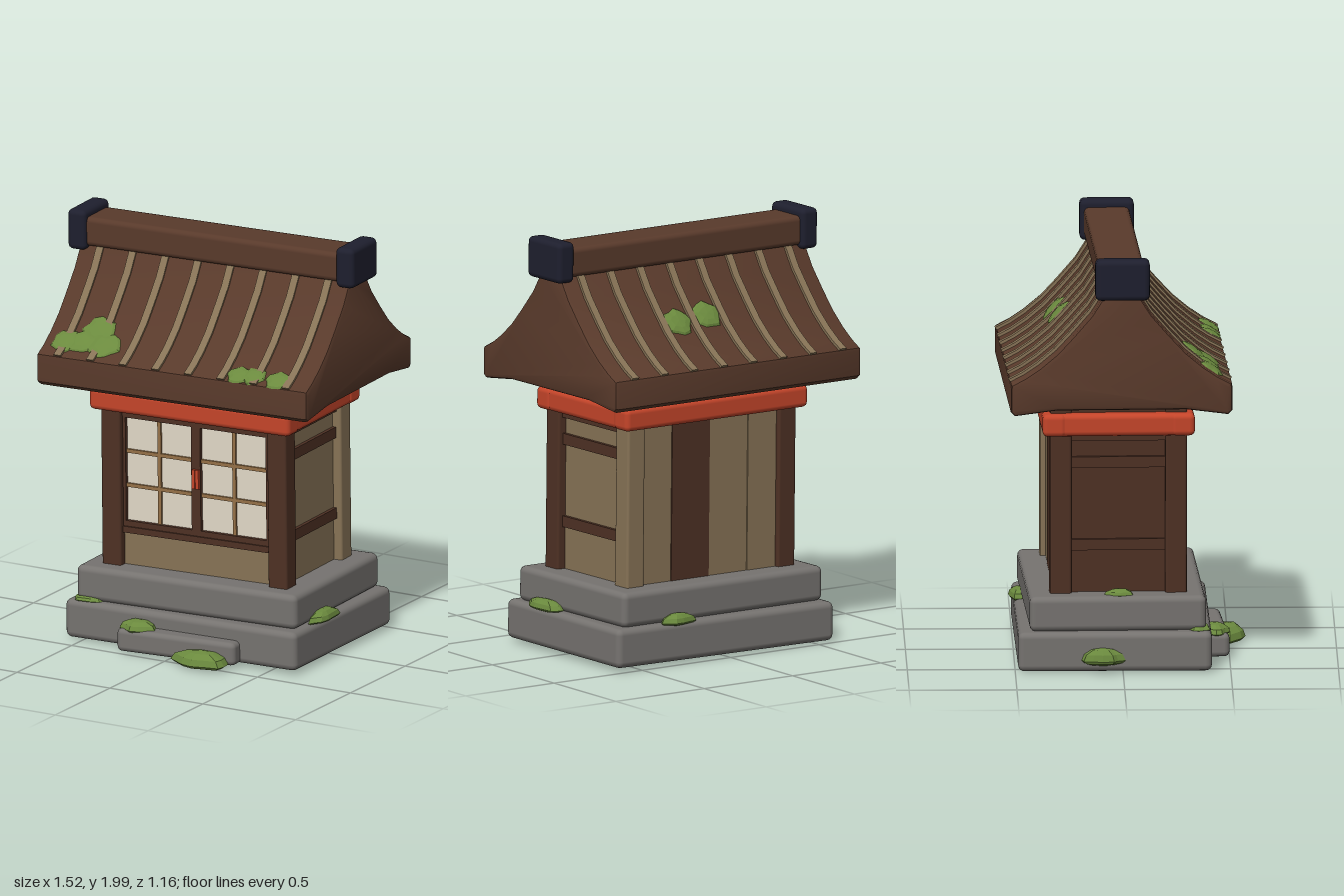
import * as THREE from 'three';
import { toCreasedNormals } from 'three/addons/utils/BufferGeometryUtils.js';
import { RoundedBoxGeometry } from 'three/addons/geometries/RoundedBoxGeometry.js';

const material = (name, color) => {
  const m = new THREE.MeshStandardMaterial({ color });
  m.name = name;
  return m;
};

// Half profile of the sweeping roof: [distance from ridge line, height]
const SLOPE = [[0.07, 1.83], [0.14, 1.72], [0.225, 1.622], [0.30, 1.541], [0.38, 1.474], [0.45, 1.427], [0.512, 1.395]];

export function createModel() {
  const stone = material('stone', 0x767370);
  const roofWood = material('roofWood', 0x593a2b);
  const darkWood = material('darkWood', 0x4e3124);
  const paleWood = material('paleWood', 0x877356);
  const latticeWood = material('latticeWood', 0x957147);
  const paper = material('paper', 0xe2d9c7);
  const red = material('red', 0xc5452a);
  const navy = material('navy', 0x1e1f2e);
  const moss = material('moss', 0x6b8a3e);

  const model = new THREE.Group();
  model.name = 'shrine';
  // The whole building leans and turns a little
  const root = new THREE.Group();
  root.name = 'building';
  root.position.set(0.02, 0, -0.037);
  root.rotation.set(0, 0.035, 0.011);
  model.add(root);

  const add = (name, geometry, mat, x = 0, y = 0, z = 0) => {
    const mesh = new THREE.Mesh(geometry, mat);
    mesh.name = name;
    mesh.position.set(x, y, z);
    root.add(mesh);
    return mesh;
  };
  const box = (name, mat, w, h, d, x, y, z) => add(name, new THREE.BoxGeometry(w, h, d), mat, x, y, z);
  const round = (name, mat, w, h, d, x, y, z, r = 0.02) =>
    add(name, new RoundedBoxGeometry(w, h, d, 2, r), mat, x, y, z);

  // Stone base and step, each turned slightly differently
  round('lowerSlab', stone, 1.235, 0.185, 0.9, 0.003, 0.107, -0.006, 0.03).rotation.y = -0.025;
  round('upperSlab', stone, 1.16, 0.165, 0.82, 0.003, 0.28, -0.006, 0.03);
  round('frontStep', stone, 0.615, 0.11, 0.18, 0.005, 0.07, 0.43, 0.025).rotation.y = 0.025;

  // Corner posts, one of them in pale wood
  for (const sx of [-1, 1]) for (const sz of [-1, 1]) {
    const mat = sx > 0 && sz < 0 ? paleWood : darkWood;
    round('cornerPost', mat, 0.1, 0.92, 0.1, 0.004 + sx * 0.438, 0.81, sz * 0.268, 0.012);
  }

  // Side walls with two rails each
  for (const s of [-1, 1]) {
    box('sideWall', s > 0 ? paleWood : darkWood, 0.03, 0.85, 0.46, s * 0.435, 0.775, 0);
    for (const y of [0.588, 0.978]) box('sideRail', darkWood, 0.03, 0.052, 0.46, s * 0.452, y, 0);
  }

  // Back planks
  [0.33, 0.11, -0.11, -0.33].forEach((x, i) =>
    box('backPlank', i === 1 ? darkWood : paleWood, 0.218, 0.85, 0.03, x, 0.775, -0.277 - (i % 2) * 0.003));

  // Front wall: lower panel and door frame
  box('frontPanel', paleWood, 0.8, 0.18, 0.03, 0.004, 0.44, 0.262);
  box('doorBacking', darkWood, 0.8, 0.6, 0.03, 0.004, 0.83, 0.245);
  box('sillRail', darkWood, 0.8, 0.03, 0.06, 0.004, 0.533, 0.265);
  for (const s of [-1, 1]) {
    const x = s * 0.197;
    box('paperScreen', paper, 0.35, 0.51, 0.008, x, 0.824, 0.264);
    for (const e of [-1, 1]) {
      box('doorStile', darkWood, 0.024, 0.57, 0.03, x + e * 0.185, 0.824, 0.272);
      box('doorRail', darkWood, 0.35, 0.03, 0.03, x, 0.824 + e * 0.264, 0.272);
    }
    box('latticeBar', latticeWood, 0.018, 0.5, 0.012, x, 0.824, 0.272);
    for (const y of [0.745, 0.91]) box('latticeBar', latticeWood, 0.35, 0.018, 0.012, x, y, 0.273);
    box('doorHandle', red, 0.016, 0.092, 0.018, 0.004 + s * 0.0095, 0.825, 0.294);
  }

  // Red tie beams and the plate above them
  for (const s of [-1, 1]) {
    round('tieBeam', red, 1.058, 0.106, 0.112, 0, 1.162, s * 0.298, 0.025);
    round('tieBeam', red, 0.1, 0.106, 0.66, s * 0.474, 1.162, 0, 0.025);
  }
  box('topPlate', darkWood, 0.94, 0.2, 0.58, 0, 1.18, 0);

  // Roof body extruded along x
  const along = (points, length, bevel) => {
    const shape = new THREE.Shape(points.map(([x, y]) => new THREE.Vector2(x, y)));
    const geo = new THREE.ExtrudeGeometry(shape, {
      depth: length - 2 * bevel, bevelEnabled: bevel > 0, bevelSize: bevel,
      bevelThickness: bevel, bevelOffset: -bevel, bevelSegments: 2,
    });
    geo.translate(0, 0, bevel - length / 2);
    geo.rotateY(Math.PI / 2);
    return toCreasedNormals(geo, 0.6);
  };
  const half = [[0.3, 1.272], [0.495, 1.247], [0.514, 1.265], [0.514, 1.38], ...SLOPE.slice().reverse()];
  const mirrored = half.map(([x, y]) => [-x, y]).reverse();
  add('roof', along([...half, ...mirrored], 1.428, 0.018), roofWood, 0, 0, 0.003);

  // Battens running down both slopes
  const lower = SLOPE.map(([x, y]) => [x - 0.02, y - 0.02]);
  const upper = SLOPE.map(([x, y]) => [x + 0.006, y + 0.01]).reverse();
  for (const s of [-1, 1]) {
    const geo = along([...lower, ...upper].map(([x, y]) => [s * x, y]), 0.037, 0);
    for (let i = 0; i < 8; i++) add('roofBatten', geo, paleWood, (i - 3.5) * 0.172);
  }

  // Ridge beam and end caps
  round('ridgeBeam', roofWood, 1.36, 0.14, 0.212, 0, 1.885, 0.005, 0.025);
  for (const s of [-1, 1]) round('ridgeCap', navy, 0.095, 0.192, 0.252, s * 0.707, 1.892, 0.006, 0.025);

  // Faceted moss dome with a ragged outline
  const clump = (name, x, y, z, rx, ry, rz, tilt = 0) => {
    const geo = new THREE.SphereGeometry(1, 13, 6);
    const p = geo.attributes.position;
    for (let i = 0; i < p.count; i++) {
      const a = Math.atan2(p.getZ(i), p.getX(i));
      const k = 0.93 + 0.1 * Math.sin(a * 5 + x * 30) + 0.04 * Math.sin(a * 3 + z * 20);
      const h = p.getY(i) * ry * (p.getY(i) < 0 ? 0.4 : 1);
      p.setXYZ(i, p.getX(i) * k * rx, h, p.getZ(i) * k * rz);
    }
    const flat = geo.toNonIndexed();
    flat.computeVertexNormals();
    add(name, flat, moss, x, y, z).rotation.x = tilt;
  };

  // Moss lying on the roof slopes: [x, z, radius]
  const roofMoss = [
    [-0.6, 0.425, 0.08], [-0.52, 0.415, 0.08], [-0.465, 0.355, 0.09], [-0.405, 0.42, 0.09],
    [0.335, 0.47, 0.065], [0.41, 0.465, 0.065], [0.54, 0.47, 0.068],
    [0.0, -0.255, 0.083], [0.175, -0.268, 0.083],
  ];
  for (const [x, z, r] of roofMoss) {
    const d = Math.abs(z);
    const i = SLOPE.findIndex((q) => q[0] >= d);
    const [a, b] = [SLOPE[i - 1], SLOPE[i]];
    const slope = (b[1] - a[1]) / (b[0] - a[0]);
    const y = a[1] + slope * (d - a[0]);
    clump('roofMoss', x, y + 0.002, z, r, 0.016, r * 0.92, -Math.atan(slope) * Math.sign(z));
  }

  // Moss around the stones: [x, y, z, rx, ry, rz]
  const baseMoss = [
    [0.16, 0.025, 0.545, 0.152, 0.06, 0.08], [-0.215, 0.122, 0.465, 0.1, 0.042, 0.065],
    [-0.515, 0.2, 0.37, 0.09, 0.024, 0.06], [-0.617, 0.07, -0.08, 0.045, 0.06, 0.11],
    [-0.515, 0.362, 0.005, 0.045, 0.028, 0.07], [0.6, 0.205, 0.165, 0.05, 0.042, 0.13],
    [0.28, 0.2, -0.425, 0.1, 0.042, 0.048],
  ];
  for (const c of baseMoss) clump('baseMoss', ...c);

  return model;
}
